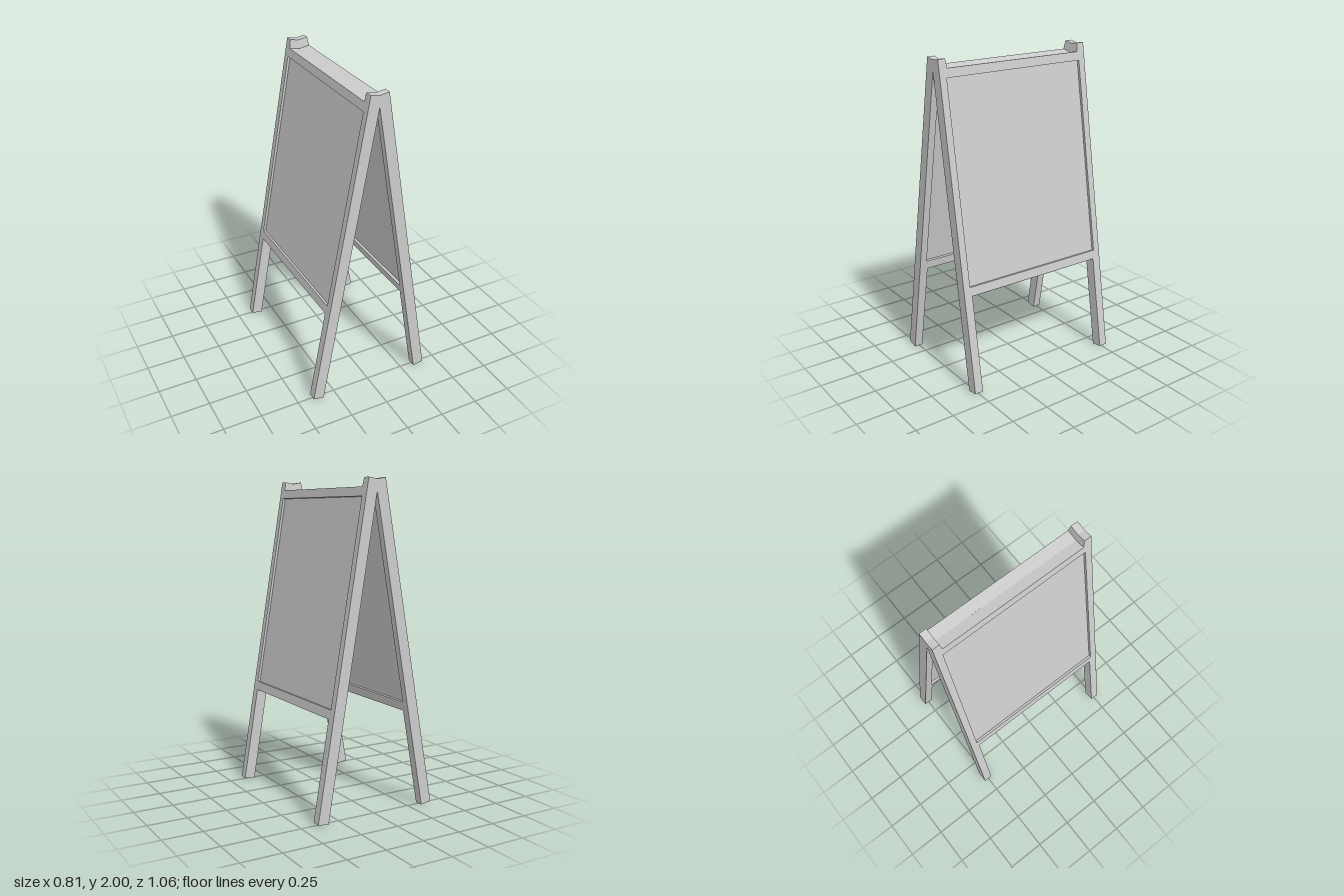
import * as THREE from 'three';

const T = 0.07; // board thickness
const material = new THREE.MeshStandardMaterial({ color: 0xcccccc, flatShading: true });

// One leaning board: side posts and rails cut from a single outline, with an inset panel.
// side is +1 or -1; the outer face runs from footX at the floor to topX at the top.
function makeBoard(side, footX, topX) {
  const lean = Math.atan((footX - topX) / 1.988);
  const y0 = T * Math.sin(lean);
  const along = (y) => (y - y0) / Math.cos(lean);
  const [top, railTop, railBottom] = [2, 1.947, 0.616].map(along);
  const [holeTop, holeBottom] = [1.893, 0.672].map(along);
  const W = 0.53, leg = 0.475, hole = 0.485;

  const outline = new THREE.Shape([
    [-W, 0], [-leg, 0], [-leg, railBottom], [leg, railBottom], [leg, 0], [W, 0],
    [W, top], [leg + 0.008, top], [leg, railTop], [-leg, railTop], [-leg - 0.008, top], [-W, top],
  ].map(([x, y]) => new THREE.Vector2(x, y)));
  outline.holes.push(new THREE.Path([
    [-hole, holeBottom], [-hole, holeTop], [hole, holeTop], [hole, holeBottom],
  ].map(([x, y]) => new THREE.Vector2(x, y))));

  const frameGeometry = new THREE.ExtrudeGeometry(outline, { depth: T, bevelEnabled: false });
  frameGeometry.translate(0, 0, -T);
  const frame = new THREE.Mesh(frameGeometry, material);
  frame.name = 'frame';

  // panel recessed from both faces of the frame
  const panel = new THREE.Mesh(
    new THREE.BoxGeometry(hole * 2, holeTop - holeBottom, T - 0.032), material);
  panel.position.set(0, (holeTop + holeBottom) / 2, -T / 2);
  panel.name = 'panel';

  const board = new THREE.Group();
  board.add(frame, panel);
  board.rotation.set(0, side * Math.PI / 2, side * lean, 'ZYX');
  board.position.set(side * footX, y0, 0);
  board.name = side > 0 ? 'leftBoard' : 'rightBoard';
  return board;
}

export function createModel() {
  const model = new THREE.Group();
  model.name = 'sandwichBoard';
  model.add(makeBoard(1, 0.404, 0.071), makeBoard(-1, 0.404, 0.044));
  return model;
}
